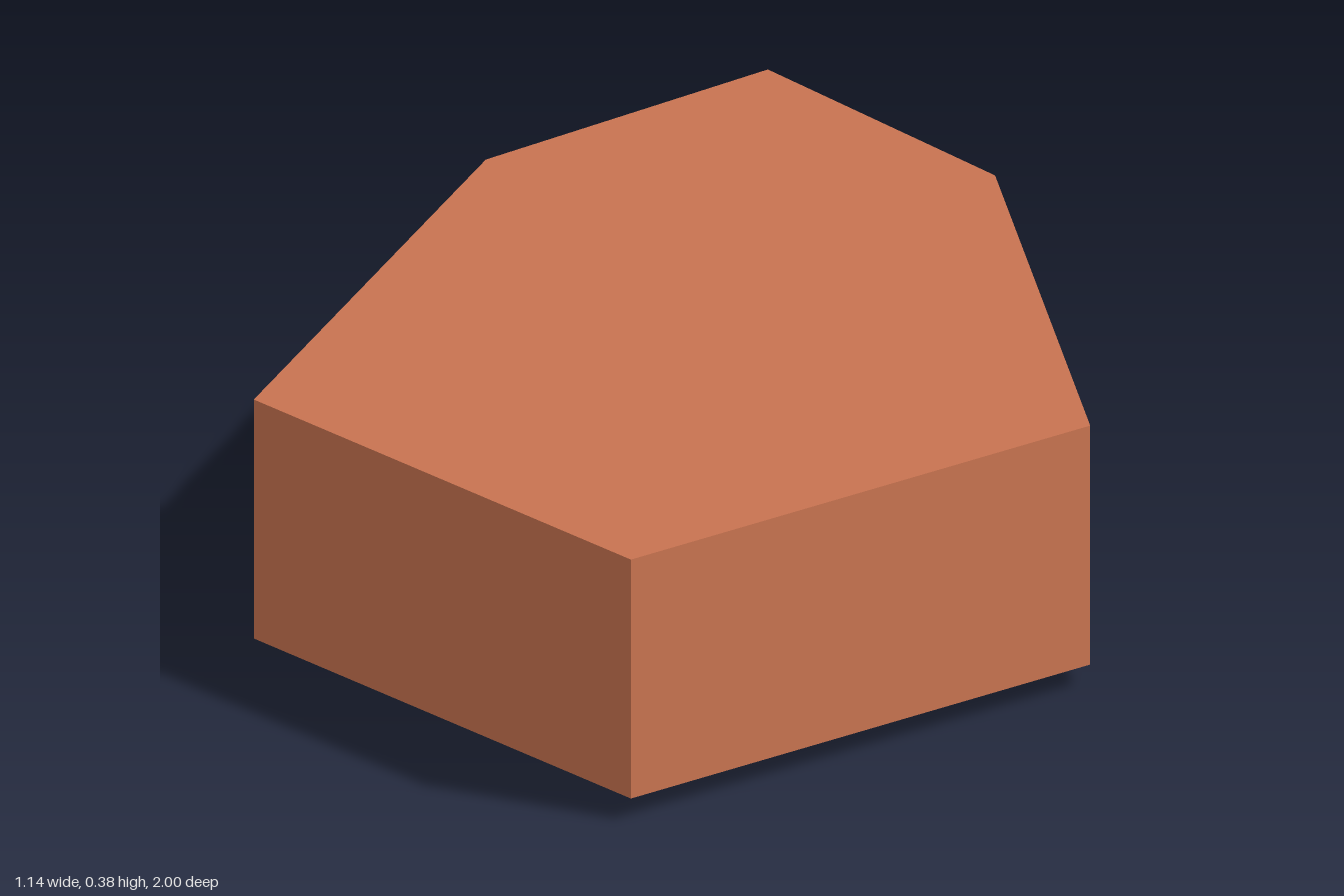
import * as THREE from 'three';

export function createModel() {
  const model = new THREE.Group();
  model.name = 'model';

  const clay = new THREE.MeshStandardMaterial({ color: 0xc87350 });
  clay.name = 'clay';
  const paleClay = new THREE.MeshStandardMaterial({ color: 0xd3af9d });
  paleClay.name = 'paleClay';

  // Six-sided body, drawn in plan (shape y becomes -z) and extruded upwards
  const plan = [[0, -1], [0.57, -0.4], [0.347, 0.6], [0, 1], [-0.347, 0.6], [-0.57, -0.4]];
  const outline = new THREE.Shape(plan.map(([x, y]) => new THREE.Vector2(x, y)));
  const bodyGeometry = new THREE.ExtrudeGeometry(outline, { depth: 0.344, bevelEnabled: false });
  bodyGeometry.rotateX(-Math.PI / 2).translate(0, 0.032, 0);
  const body = new THREE.Mesh(bodyGeometry, clay);
  body.name = 'body';
  model.add(body);

  // Tilted rails under the body, resting on their inner lower edges
  const width = 0.094, height = 0.05, length = 0.55;
  const tilt = THREE.MathUtils.degToRad(25);
  for (const side of [1, -1]) {
    const geometry = new THREE.BoxGeometry(width, height, length);
    geometry.translate(side * width / 2, height / 2, 0);
    const rail = new THREE.Mesh(geometry, paleClay);
    rail.name = side > 0 ? 'leftRail' : 'rightRail';
    rail.rotation.z = side * tilt;
    rail.position.set(side * 0.365, 0, 0.095);
    model.add(rail);
  }

  return model;
}
